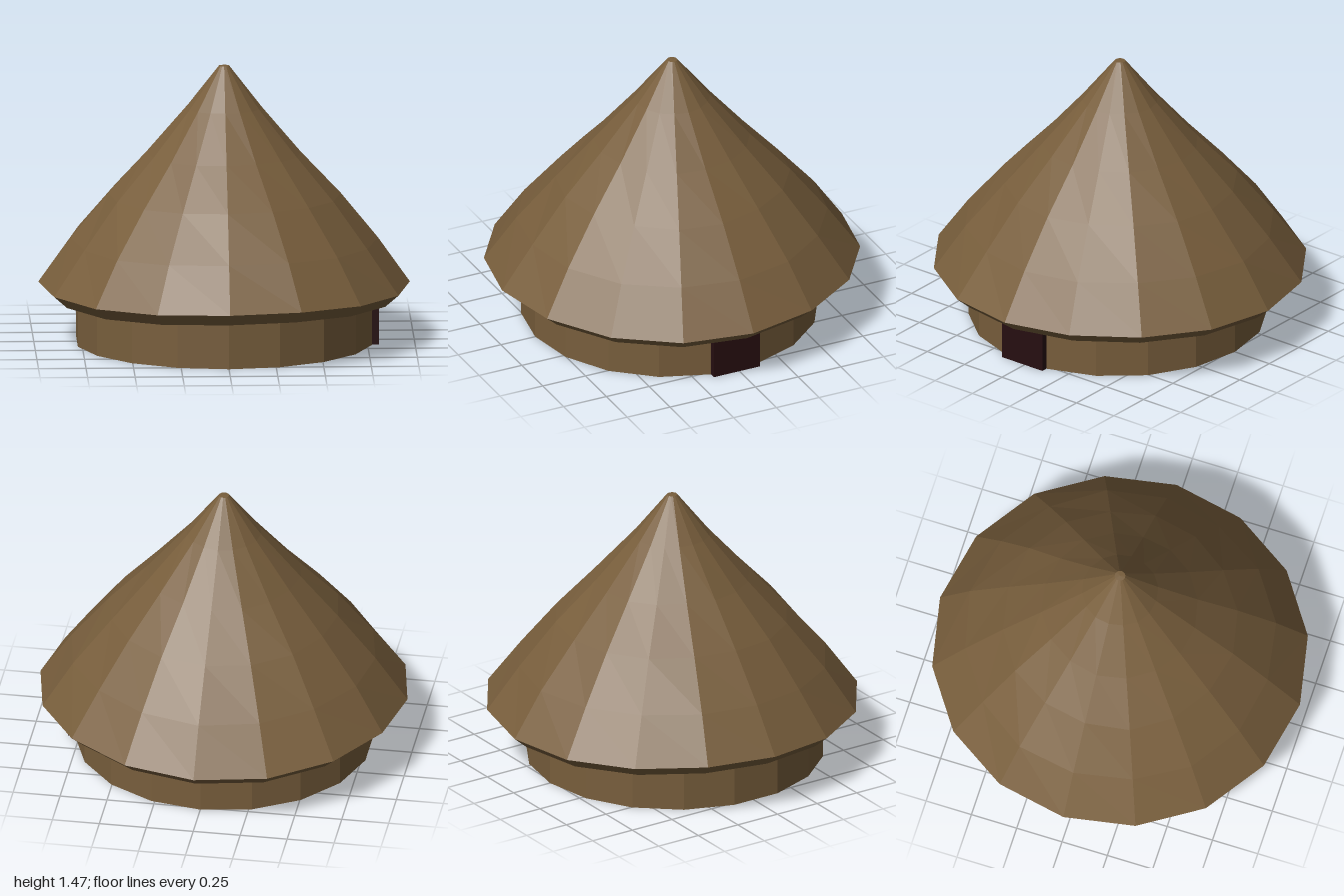
import * as THREE from 'three';

const straw = new THREE.MeshStandardMaterial({ color: 0x785e3c, flatShading: true });
straw.name = 'straw brown';
const dark = new THREE.MeshStandardMaterial({ color: 0x260e10, flatShading: true });
dark.name = 'dark doorway';

function add(group, name, geometry, material) {
  const mesh = new THREE.Mesh(geometry, material);
  mesh.name = name;
  group.add(mesh);
  return mesh;
}

export function createModel() {
  const hut = new THREE.Group();
  hut.name = 'hut';

  // Round wall with 18 facets
  const wall = add(hut, 'wall', new THREE.CylinderGeometry(0.785, 0.785, 0.42, 18), straw);
  wall.position.set(0, 0.21, 0.015);

  // Door slab filling the facet on +x
  const door = add(hut, 'door', new THREE.BoxGeometry(0.08, 0.34, 0.27), dark);
  door.position.set(0.77, 0.171, 0.015);

  // Thatched roof: inner side, eave lip, then the outer slope up to a blunt tip
  const profile = [
    [0.73, 0.52], [0.91, 0.25], [0.985, 0.315], [0.815, 0.55], [0.615, 0.79],
    [0.41, 1.01], [0.2, 1.25], [0.028, 1.47], [0, 1.472],
  ].map(([r, y]) => new THREE.Vector2(r, y));
  const roof = new THREE.LatheGeometry(profile, 16);

  // Slightly uneven hand-laid thatch, fading out toward the tip
  const p = roof.attributes.position;
  for (let i = 0; i < p.count; i++) {
    const x = p.getX(i), y = p.getY(i), z = p.getZ(i);
    const a = Math.atan2(x, z), r = Math.hypot(x, z);
    const s = 1 + 0.008 * Math.cos(2 * a) + 0.008 * Math.sin(5 * a + y * 9) * (y > 0.4 ? 1 : 0);
    p.setXYZ(i, x * s, y + 0.01 * r * Math.sin(3 * a + 1), z * s);
  }
  roof.computeVertexNormals();
  add(hut, 'roof', roof, straw);

  return hut;
}
